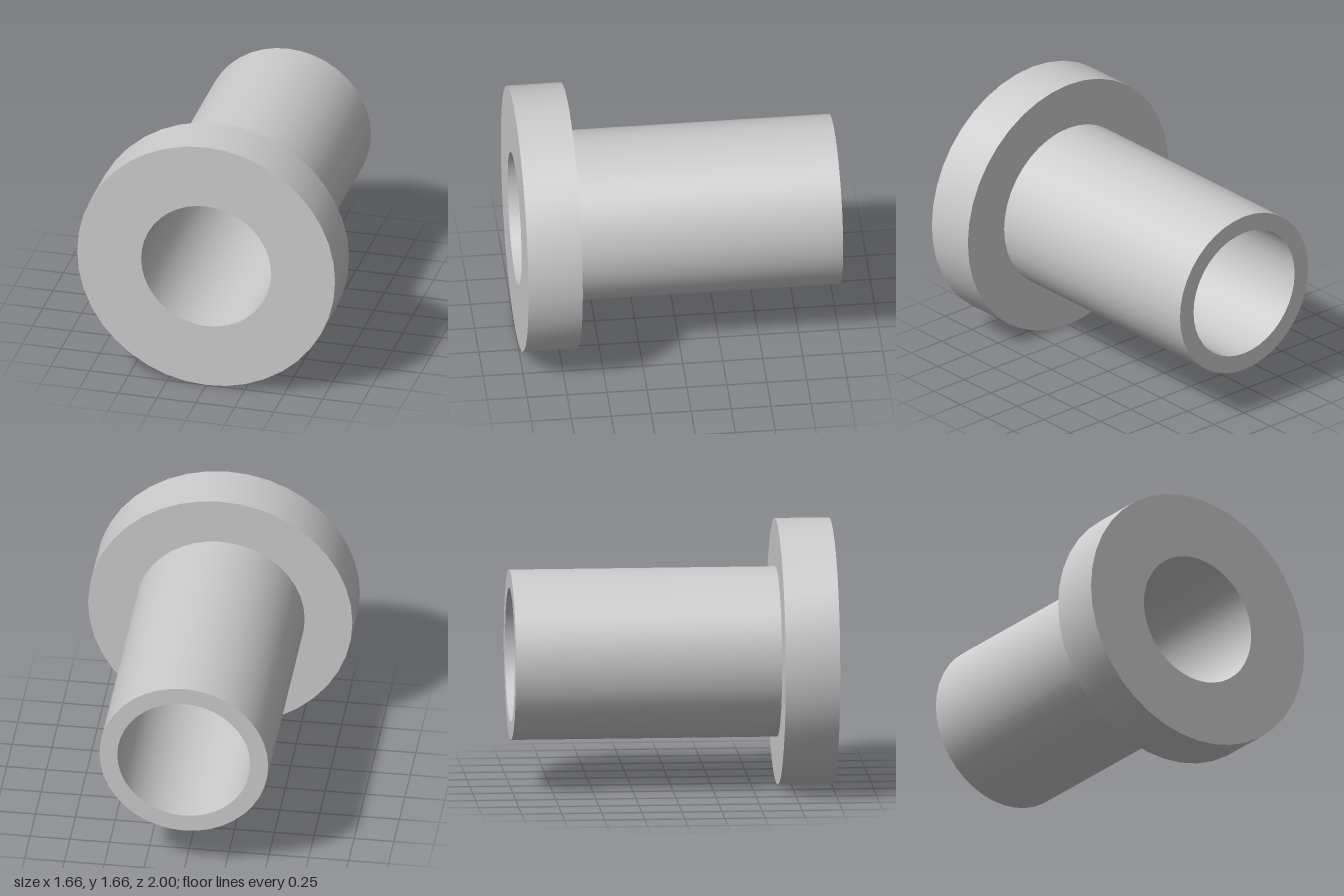
import * as THREE from 'three';
import { toCreasedNormals } from 'three/addons/utils/BufferGeometryUtils.js';

const SEGMENTS = 40;
const BORE = 0.418, BARREL = 0.53, FLANGE = 0.83; // radii
const BACK = -1, SHOULDER = 0.66, FRONT = 1; // stations along z

// Turns a [radius, z] profile around the z axis, keeping its corners sharp
function turned(name, profile, material) {
  const points = profile.map(([r, z]) => new THREE.Vector2(r, z));
  const geometry = new THREE.LatheGeometry(points, SEGMENTS).rotateX(Math.PI / 2);
  const mesh = new THREE.Mesh(toCreasedNormals(geometry, 0.6), material);
  mesh.name = name;
  mesh.position.y = FLANGE;
  return mesh;
}

export function createModel() {
  const group = new THREE.Group();
  group.name = 'flangedBushing';
  const material = new THREE.MeshStandardMaterial({ color: 0xcccccc });

  // Barrel: through bore, back rim and outer wall up to the shoulder
  group.add(turned('barrel', [
    [BORE, FRONT], [BORE, BACK], [BARREL, BACK], [BARREL, SHOULDER],
  ], material));

  // Flange: shoulder, outer rim and front face down to the bore
  group.add(turned('flange', [
    [BARREL, SHOULDER], [FLANGE, SHOULDER], [FLANGE, FRONT], [BORE, FRONT],
  ], material));

  return group;
}
